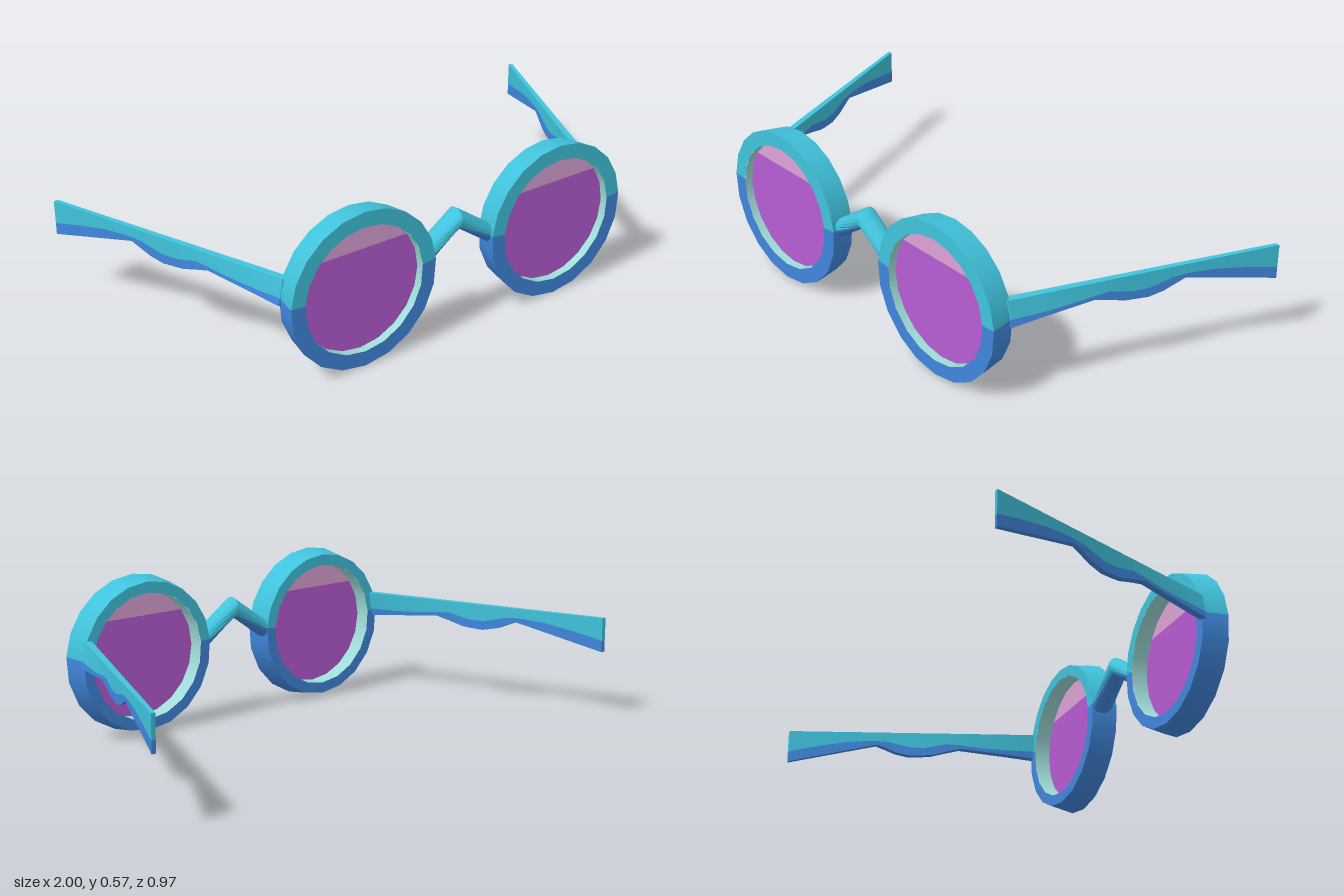
import * as THREE from 'three';
import { toCreasedNormals } from 'three/addons/utils/BufferGeometryUtils.js';

const RAD = Math.PI / 180;
const CX = 0.4, CY = 0.285;                    // lens centre
const FRONT = 0.485, BACK = 0.395;             // rim depth
const R_FRONT = 0.283, R_BACK = 0.269, R_IN = 0.229;

function material(name, color, side = THREE.FrontSide) {
  const m = new THREE.MeshStandardMaterial({ color, side });
  m.name = name;
  return m;
}

function add(parent, name, geometry, mat) {
  const mesh = new THREE.Mesh(geometry, mat);
  mesh.name = name;
  parent.add(mesh);
  return mesh;
}

// Skin a row of open cross-sections, optionally capping both ends
function loft(rings, capped) {
  const n = rings[0].length, index = [];
  for (let i = 0; i < rings.length - 1; i++) {
    for (let j = 0; j < n - 1; j++) {
      const a = i * n + j, b = a + 1, d = a + n, c = d + 1;
      index.push(a, b, c, a, c, d);
    }
  }
  if (capped) {
    const e = (rings.length - 1) * n;
    for (let j = 1; j < n - 1; j++) index.push(0, j + 1, j, e, e + j, e + j + 1);
  }
  const g = new THREE.BufferGeometry();
  g.setAttribute('position', new THREE.Float32BufferAttribute(rings.flat(2), 3));
  g.setIndex(index);
  return toCreasedNormals(g, 0.6);
}

// One band of the rim, swept around z between two angles (degrees)
function band(r0, z0, r1, z1, from, to, segments) {
  const profile = [new THREE.Vector2(r0, z0), new THREE.Vector2(r1, z1)];
  const g = new THREE.LatheGeometry(profile, segments, (from + 90) * RAD, (to - from) * RAD);
  return g.rotateX(Math.PI / 2);
}

// Part of the lens disc between two angles, closed by a straight chord
function lensPart(from, to) {
  const s = new THREE.Shape();
  s.absarc(0, 0, R_IN, from * RAD, to * RAD, false);
  return new THREE.ShapeGeometry(s, (to - from) / 36);
}

// Temple stations from back to front: z, colour split height, bottom height
const TEMPLE = [
  [-0.485, 0.292, 0.25], [-0.38, 0.316, 0.275], [-0.28, 0.334, 0.299],
  [-0.2, 0.34, 0.318], [-0.17, 0.34, 0.325], [-0.13, 0.337, 0.307],
  [-0.1, 0.328, 0.293], [-0.05, 0.315, 0.281], [0, 0.315, 0.284],
  [0.03, 0.321, 0.287], [0.08, 0.333, 0.302], [0.13, 0.329, 0.315],
  [0.2, 0.32, 0.307], [0.3, 0.313, 0.296], [0.405, 0.311, 0.284],
];
const TEMPLE_TOP = 0.376;

function templeRings(side, upper) {
  return TEMPLE.map(([z, split, bottom]) => {
    const t = (z + 0.485) / 0.89;
    const outer = 1 - 0.342 * t, inner = outer - 0.016 - 0.012 * t;
    // the lower edge leans outward towards the hinge
    const lean = y => 0.018 * Math.max(0, z / 0.405) * (TEMPLE_TOP - y) / 0.09;
    const p = (x, y) => [side * (x + lean(y)), y, z];
    const ring = upper
      ? [p(outer, split), p(outer, TEMPLE_TOP), p(inner, TEMPLE_TOP), p(inner, split)]
      : [p(inner, split), p(inner, bottom), p(outer, bottom), p(outer, split)];
    return side > 0 ? ring : ring.reverse();
  });
}

// Bridge: oval tube folded at the middle, its underside in the second colour
function bridgeRings(upper) {
  return [[-0.14, 0.302, 0], [0, 0.402, -48], [0.14, 0.302, 0]].map(([x, y, split]) => {
    const from = upper ? 180 - split : split;
    const to = upper ? split : -180 - split;
    return Array.from({ length: 13 }, (_, i) => {
      const a = (from + (to - from) * i / 12) * RAD;
      return [x, y + 0.037 * Math.sin(a), 0.435 + 0.04 * Math.cos(a)];
    });
  });
}

export function createModel() {
  const model = new THREE.Group();
  model.name = 'sunglasses';
  const teal = material('teal frame', 0x40c3dc);
  const blue = material('blue frame', 0x4087dd);
  const pale = material('pale inner rim', 0x9fdcd8);
  const purple = material('purple lens', 0xb75cd3, THREE.DoubleSide);
  const pink = material('pink lens', 0xdca3d6, THREE.DoubleSide);

  for (const side of [1, -1]) {
    const label = side > 0 ? 'left' : 'right';

    // Round rim, teal above and blue below
    const eye = new THREE.Group();
    eye.name = label + 'Eyepiece';
    eye.position.set(side * CX, CY, 0);
    model.add(eye);
    for (const [part, mat, from, to] of [['Upper', teal, 5, 175], ['Lower', blue, 175, 365]]) {
      add(eye, 'rimOutside' + part, band(R_BACK, BACK, R_FRONT, FRONT, from, to, 10), mat);
      add(eye, 'rimFront' + part, band(R_FRONT, FRONT, R_IN, FRONT, from, to, 10), mat);
      add(eye, 'rimBack' + part, band(R_IN, BACK, R_BACK, BACK, from, to, 10), mat);
    }
    add(eye, 'rimInside', band(R_IN, FRONT, R_IN, BACK, 0, 360, 20), pale);

    // Two-tone lens
    add(eye, 'lensUpper', lensPart(36, 144), pink).position.z = 0.455;
    add(eye, 'lensLower', lensPart(144, 396), purple).position.z = 0.455;

    // Temple arm
    const temple = new THREE.Group();
    temple.name = label + 'Temple';
    model.add(temple);
    add(temple, 'templeUpper', loft(templeRings(side, true), true), teal);
    add(temple, 'templeLower', loft(templeRings(side, false), true), blue);
  }

  const bridge = new THREE.Group();
  bridge.name = 'bridge';
  model.add(bridge);
  add(bridge, 'bridgeUpper', loft(bridgeRings(true), false), teal);
  add(bridge, 'bridgeLower', loft(bridgeRings(false), false), blue);

  return model;
}
